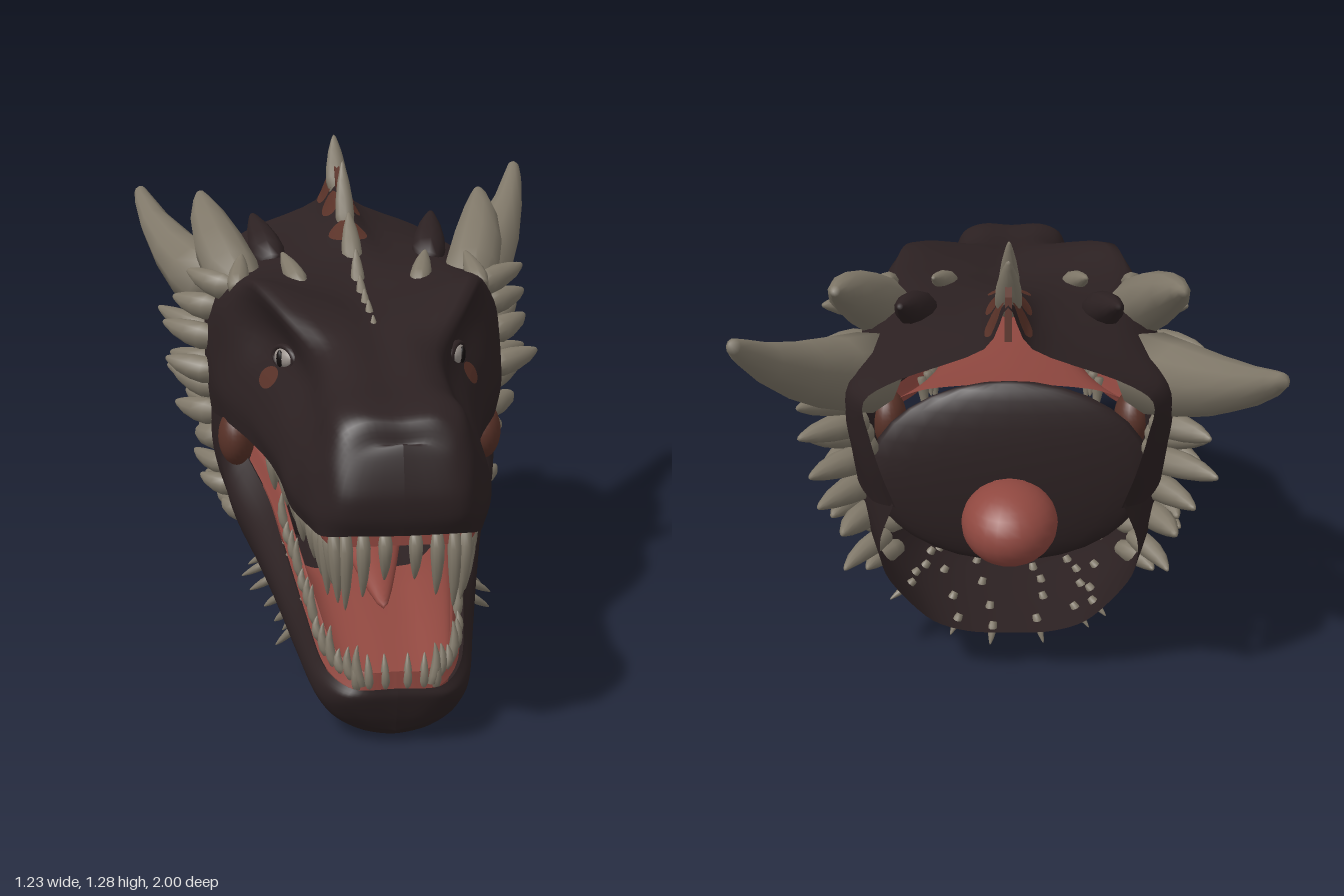
import * as THREE from 'three';
import { mergeVertices } from 'three/addons/utils/BufferGeometryUtils.js';

const V = (x, y, z) => new THREE.Vector3(x, y, z);
const mat = (name, color, side = THREE.FrontSide) => {
  const m = new THREE.MeshStandardMaterial({ color, side });
  m.name = name;
  return m;
};

// Half sections: z (one, or one per point), then x,y pairs from the crown down to the lip
const snout = [
  [[0.95, 0.955, 0.965, 0.978, 0.988, 0.986, 0.972], 0, 0.765, 0.06, 0.768, 0.1, 0.745, 0.12, 0.7, 0.13, 0.65, 0.13, 0.6, 0.12, 0.56],
  [0.93, 0, 0.815, 0.08, 0.82, 0.135, 0.795, 0.165, 0.735, 0.18, 0.67, 0.19, 0.6, 0.18, 0.55],
  [0.85, 0, 0.84, 0.09, 0.845, 0.15, 0.82, 0.18, 0.75, 0.21, 0.68, 0.22, 0.6, 0.205, 0.55],
  [0.7, 0, 0.855, 0.08, 0.86, 0.14, 0.83, 0.18, 0.76, 0.22, 0.69, 0.245, 0.61, 0.235, 0.55],
  [0.5, 0, 0.895, 0.08, 0.905, 0.15, 0.88, 0.175, 0.79, 0.235, 0.7, 0.257, 0.62, 0.247, 0.555],
  [0.35, 0, 0.925, 0.1, 0.945, 0.23, 0.955, 0.2, 0.84, 0.255, 0.73, 0.28, 0.63, 0.268, 0.565],
];
const skull = [
  [0.2, 0, 0.935, 0.13, 0.965, 0.29, 1.0, 0.255, 0.87, 0.3, 0.76, 0.32, 0.66, 0.31, 0.58],
  [0.05, 0, 0.95, 0.15, 0.97, 0.31, 0.985, 0.36, 0.9, 0.375, 0.78, 0.385, 0.68, 0.37, 0.6],
  [-0.15, 0, 1.0, 0.12, 0.99, 0.29, 0.975, 0.38, 0.9, 0.41, 0.79, 0.41, 0.68, 0.4, 0.58],
  [-0.4, 0, 1.085, 0.09, 1.03, 0.27, 0.99, 0.37, 0.92, 0.41, 0.8, 0.405, 0.7, 0.39, 0.58],
  [-0.62, 0, 1.15, 0.07, 1.06, 0.26, 0.99, 0.38, 0.93, 0.385, 0.82, 0.365, 0.72, 0.335, 0.62],
  [[-0.8, -0.775, -0.765, -0.755, -0.75, -0.745, -0.72], 0, 1.19, 0.055, 1.08, 0.25, 1.0, 0.335, 0.94, 0.325, 0.85, 0.3, 0.75, 0.27, 0.65],
];
// Jaw sections run from the keel up to the lip; the last one slants back
const jaw = [
  [[0.84, 0.845, 0.86, 0.875, 0.882, 0.88], 0, 0.03, 0.06, 0.04, 0.09, 0.07, 0.115, 0.11, 0.12, 0.135, 0.105, 0.155],
  [0.78, 0, 0, 0.08, 0.015, 0.145, 0.05, 0.18, 0.1, 0.185, 0.145, 0.168, 0.18],
  [0.6, 0, 0.03, 0.1, 0.04, 0.18, 0.085, 0.22, 0.15, 0.222, 0.2, 0.2, 0.25],
  [0.4, 0, 0.07, 0.11, 0.08, 0.2, 0.12, 0.255, 0.2, 0.265, 0.27, 0.23, 0.33],
  [0.2, 0, 0.1, 0.13, 0.105, 0.235, 0.15, 0.295, 0.25, 0.31, 0.34, 0.26, 0.415],
  [0.06, 0, 0.11, 0.14, 0.12, 0.25, 0.175, 0.325, 0.28, 0.36, 0.4, 0.31, 0.495],
  [-0.03, 0, 0.115, 0.14, 0.13, 0.25, 0.185, 0.335, 0.3, 0.38, 0.45, 0.38, 0.62],
  [-0.25, 0, 0.12, 0.13, 0.135, 0.25, 0.19, 0.35, 0.31, 0.395, 0.47, 0.395, 0.64],
  [[-0.42, -0.43, -0.45, -0.49, -0.6, -0.73], 0, 0.13, 0.11, 0.14, 0.21, 0.19, 0.31, 0.33, 0.32, 0.49, 0.275, 0.66],
];
// Side spikes: base z,y then tip z,y
const cheekSpikes = [
  [-0.08, 0.93, -0.2, 0.97], [-0.17, 0.86, -0.29, 0.88], [-0.14, 0.78, -0.28, 0.81], [-0.32, 0.76, -0.5, 0.81],
  [-0.12, 0.69, -0.21, 0.72], [-0.28, 0.68, -0.42, 0.69], [-0.22, 0.62, -0.36, 0.66], [-0.35, 0.61, -0.52, 0.63],
  [-0.17, 0.56, -0.3, 0.57], [-0.34, 0.54, -0.53, 0.55], [-0.24, 0.47, -0.4, 0.46], [-0.33, 0.45, -0.5, 0.46],
  [-0.19, 0.4, -0.36, 0.41], [-0.11, 0.36, -0.2, 0.38], [-0.27, 0.34, -0.43, 0.32], [-0.09, 0.29, -0.17, 0.31],
  [-0.22, 0.28, -0.35, 0.28],
];

// Smooth mirrored skin through half sections, closed at the front
function loft(sections, rows = 64, cols = 48) {
  const rings = sections.map(([z, ...xy]) => {
    const half = [];
    for (let i = 0; i < xy.length; i += 2) half.push(V(xy[i], xy[i + 1], Array.isArray(z) ? z[i / 2] : z));
    return [...half.slice(1).reverse().map(p => V(-p.x, p.y, p.z)), ...half];
  });
  rings.unshift(rings[0].map(p => V(0, p.y, p.z + 0.008)));
  const curves = rings.map(r => new THREE.CatmullRomCurve3(r, false, 'catmullrom', 0.45));
  const pos = [], idx = [];
  for (let j = 0; j <= cols; j++) {
    const line = new THREE.CatmullRomCurve3(curves.map(c => c.getPoint(j / cols)), false, 'catmullrom', 0.45);
    for (let i = 0; i <= rows; i++) pos.push(...line.getPoint(i / rows).toArray());
  }
  for (let j = 0; j < cols; j++) for (let i = 0; i < rows; i++) {
    const a = j * (rows + 1) + i, b = a + rows + 1;
    idx.push(a, b, a + 1, b, b + 1, a + 1);
  }
  const g = new THREE.BufferGeometry();
  g.setAttribute('position', new THREE.Float32BufferAttribute(pos, 3));
  g.setIndex(idx);
  g.computeVertexNormals();
  return g;
}

// Tapered, curved spike from a to b; bow pushes its middle sideways
function spikeGeometry(a, b, r, bow = V(0, 0, 0), horn = false) {
  const w = horn ? [1, 0.87, 0.68, 0.45, 0.28, 0.18] : [0.75, 1, 0.92, 0.66, 0.34, 0.18];
  const ts = [0, 0.2, 0.42, 0.68, 0.88, 0.96];
  const profile = [V(0, 0, 0), ...ts.map((t, i) => V(w[i] * r, t, 0)), V(0, 1, 0)];
  let g = new THREE.LatheGeometry(profile, 10);
  g.deleteAttribute('uv');
  g.deleteAttribute('normal');
  g = mergeVertices(g);
  const d = b.clone().sub(a), q = new THREE.Quaternion().setFromUnitVectors(V(0, 1, 0), d.clone().normalize());
  const p = g.attributes.position, v = V(0, 0, 0);
  for (let i = 0; i < p.count; i++) {
    v.fromBufferAttribute(p, i);
    const t = v.y;
    v.setY(0).applyQuaternion(q).add(a).addScaledVector(d, t).addScaledVector(bow, 4 * t * (1 - t));
    p.setXYZ(i, v.x, v.y, v.z);
  }
  g.computeVertexNormals();
  return g;
}

export function createModel() {
  const root = new THREE.Group();
  root.name = 'dragonHead';
  const skin = mat('dark hide', 0x2c2122, THREE.DoubleSide), bone = mat('horn', 0x807869);
  const flesh = mat('mouth flesh', 0x904840, THREE.DoubleSide), blotch = mat('brown blotch', 0x593228, THREE.DoubleSide);
  const white = mat('eyeball', 0x9a928c), black = mat('pupil', 0x120d0d);
  const add = (name, geo, m) => {
    const mesh = new THREE.Mesh(geo, m);
    mesh.name = name;
    root.add(mesh);
    return mesh;
  };
  const spike = (name, a, b, r, bow, horn) => add(name, spikeGeometry(a, b, r, bow, horn), bone);
  const ball = (name, m, [rx, ry, rz], [x, y, z]) => add(name, new THREE.SphereGeometry(1, 24, 16).scale(rx, ry, rz).translate(x, y, z), m);

  // Hide, open at the neck
  const upper = [...snout, ...skull];
  const hide = [add('upperHead', loft(upper), skin), add('lowerJaw', loft(jaw), skin)];
  const ray = new THREE.Raycaster();
  const hit = (from, dir) => {
    ray.set(from, dir.clone().normalize());
    return ray.intersectObjects(hide, false)[0]?.point;
  };
  const fromSide = (s, y, z) => hit(V(s * 2, y, z), V(-s, 0, 0)) ?? V(s * 0.37, y, z);
  const fromTop = (x, z) => hit(V(x, 3, z), V(0, -1, 0)) ?? V(x, 1, z);

  // Mouth lining, throat and tongue
  const lip = s => [...s.slice(-2), [s[0]].flat().at(-1)];
  add('palateAndGum', loft(upper.slice(1, 8).map(s => {
    const [w, y, z] = lip(s);
    return [z - 0.012, 0, y + 0.05, w * 0.6, y + 0.035, w - 0.05, y, w - 0.03, y - 0.03, w - 0.008, y + 0.02];
  })), flesh);
  add('jawLining', loft(jaw.slice(0, 6).map(s => {
    const [w, y, z] = lip(s), b = s[2];
    return [z - 0.02, 0, b + 0.06, w * 0.5, b + 0.065, w * 0.82, (b + y) / 2 + 0.02, w - 0.03, y + 0.035, w - 0.006, y - 0.01];
  })), flesh);
  ball('gulletWall', skin, [0.385, 0.27, 0.06], [0, 0.455, -0.12]);
  ball('throat', flesh, [0.22, 0.19, 0.1], [0, 0.42, -0.07]);
  ball('tongueRoot', flesh, [0.13, 0.11, 0.15], [0, 0.36, -0.23]);
  const tongue = new THREE.SphereGeometry(1, 20, 24).scale(0.115, 0.035, 0.4);
  const tp = tongue.attributes.position;
  for (let i = 0; i < tp.count; i++) {
    const t = (tp.getZ(i) + 0.4) / 0.8;
    tp.setXYZ(i, tp.getX(i) * (1.3 - 0.95 * t), tp.getY(i) + 0.46 - 0.21 * t, tp.getZ(i) + 0.2);
  }
  tongue.computeVertexNormals();
  add('tongue', tongue, flesh);

  // Blotches laid onto the hide
  const blotchOn = (name, project) => {
    const g = new THREE.RingGeometry(0.001, 1, 20, 4), p = g.attributes.position;
    for (let i = 0; i < p.count; i++) {
      const v = project(p.getX(i), p.getY(i));
      p.setXYZ(i, v.x, v.y, v.z);
    }
    g.computeVertexNormals();
    add(name, g, blotch);
  };
  blotchOn('crownBlotch', (u, v) => fromTop(u * 0.055, -0.31 + v * 0.06).add(V(0, 0.005, 0)));

  for (const s of [1, -1]) {
    blotchOn('eyeBlotch', (u, v) => fromSide(s, 0.77 + v * 0.028, 0.285 + u * 0.042).add(V(s * 0.005, 0, 0)));
    for (const z of [-0.52, -0.69]) blotchOn('crestBlotch', (u, v) => fromTop(s * (0.028 + u * 0.024), z + v * 0.075).add(V(s * 0.004, 0.004, 0)));
    ball('cheekMembrane', blotch, [0.05, 0.08, 0.065], [s * 0.338, 0.55, 0.035]);

    // Eye
    const e = fromSide(s, 0.825, 0.305);
    add('eyelid', new THREE.TorusGeometry(0.044, 0.011, 8, 20).scale(1.1, 0.65, 1).rotateY(s * 1.1).translate(e.x, e.y, e.z), skin);
    add('eyeball', new THREE.SphereGeometry(1, 16, 12).scale(0.044, 0.026, 0.02).rotateY(s * 1.1).translate(e.x, e.y, e.z), white);
    add('pupil', new THREE.SphereGeometry(1, 12, 8).scale(0.011, 0.022, 0.008).rotateY(s * 1.1).translate(e.x + s * 0.015, e.y, e.z + 0.009), black);

    // Two pairs of great horns
    spike('rearHorn', V(s * 0.36, 0.87, -0.41), s > 0 ? V(0.6, 1.17, -0.97) : V(-0.6, 1.1, -1), 0.105, V(s * 0.03, -0.02, -0.01), true);
    spike('browHorn', V(s * 0.3, 0.9, -0.08), V(s * 0.415, 1.14, -0.56), 0.078, V(s * 0.02, 0.02, 0));

    // Crown, cheek and under-jaw spikes
    for (const [x, tx] of [[0.33, 0.31], [0.16, 0.2]]) {
      const p = fromTop(s * x, 0.02);
      spike('crownSpike', p.clone().add(V(0, -0.02, 0)), V(s * tx, p.y + 0.05, -0.14), 0.03);
    }
    add('crownKnob', spikeGeometry(V(s * 0.22, 0.97, -0.24), V(s * 0.265, 1.08, -0.5), 0.05), skin);
    cheekSpikes.forEach(([z, y, tz, ty], i) => {
      const p = fromSide(s, y, z), out = (y > 0.6 ? 0.115 : y > 0.5 ? 0.085 : 0.055) + 0.015 * Math.sin(i * 5 + s);
      spike('cheekSpike', V(p.x - s * 0.03, y, z), V(p.x + s * out, ty, tz), y > 0.42 ? 0.038 : 0.03, V(s * 0.012, 0, 0));
    });
    for (let i = 0; i < 8; i++) for (const a of [0.3, 0.7, 1.0]) {
      const wob = Math.sin(i * 7.3 + a * 31 + s), z = 0.38 - i * 0.107 + a * 0.04 + wob * 0.03;
      const d = V(s * Math.sin(a + wob * 0.1), -Math.cos(a + wob * 0.1), 0);
      const p = hit(V(0, 0.35, z).addScaledVector(d, 2), d.clone().negate());
      if (p) spike('jawSpike', p.clone().addScaledVector(d, -0.015), p.clone().addScaledVector(d, 0.045 + wob * 0.015).add(V(0, -0.01, -0.03)), 0.012);
    }

    // Teeth along both lips
    const row = (sections, inset) => new THREE.CatmullRomCurve3(sections.map(lip).map(([w, y, z]) => V(s * (w - inset), y, z - 0.015)));
    const top = row(upper.slice(1, 7), 0.028), low = row(jaw.slice(0, 5), 0.022);
    for (let i = 0; i < 13; i++) {
      const p = top.getPoint(i / 13.5), len = (i < 4 ? 0.17 : 0.11) - (i % 2) * 0.035;
      spike('upperTooth', p, V(p.x - s * 0.01, p.y - len, p.z - 0.005), 0.017, V(0, 0, 0.012));
      const k = low.getPoint(i / 14);
      spike('lowerTooth', k, V(k.x + s * 0.008, k.y + 0.1 - (i % 3) * 0.02, k.z - 0.01), 0.013, V(s * 0.008, 0, 0));
    }
    for (const [x, len] of [[0.035, 0.12], [0.085, 0.16], [0.125, 0.19]]) {
      spike('frontFang', V(s * x, 0.55, 0.92), V(s * x, 0.55 - len, 0.905), 0.017, V(0, 0, 0.015));
      spike('lowerFrontTooth', V(s * x * 0.75, 0.145, 0.86), V(s * x * 0.8, 0.23, 0.85), 0.012, V(0, 0, 0.008));
    }
  }

  // Spines down the middle, with a webbed crest
  const spines = [[0.4, 0.025, 0.35, 0.012], [0.3, 0.03, 0.24, 0.013], [0.2, 0.035, 0.14, 0.014], [0.1, 0.045, 0.03, 0.016],
    [0, 0.08, -0.08, 0.02], [-0.16, 0.11, -0.28, 0.03], [-0.37, 0.16, -0.47, 0.028], [-0.63, 0.13, -0.75, 0.033]];
  for (const [z, h, tz, r] of spines) {
    const p = fromTop(0, z);
    spike('spine', V(0, p.y - 0.03, z), V(0, p.y + h, tz), r, V(0, 0, -0.01));
  }
  const fin = pts => new THREE.ExtrudeGeometry(new THREE.Shape(pts.map(([z, y]) => new THREE.Vector2(-z, y))), { depth: 0.016, bevelEnabled: false })
    .translate(0, 0, -0.008).rotateY(Math.PI / 2);
  add('crestWeb', fin([[-0.36, 1.02], [-0.42, 1.15], [-0.5, 1.125], [-0.6, 1.16], [-0.71, 1.23], [-0.76, 1.2], [-0.78, 1.1], [-0.6, 1.08]]), blotch);
  return root;
}
